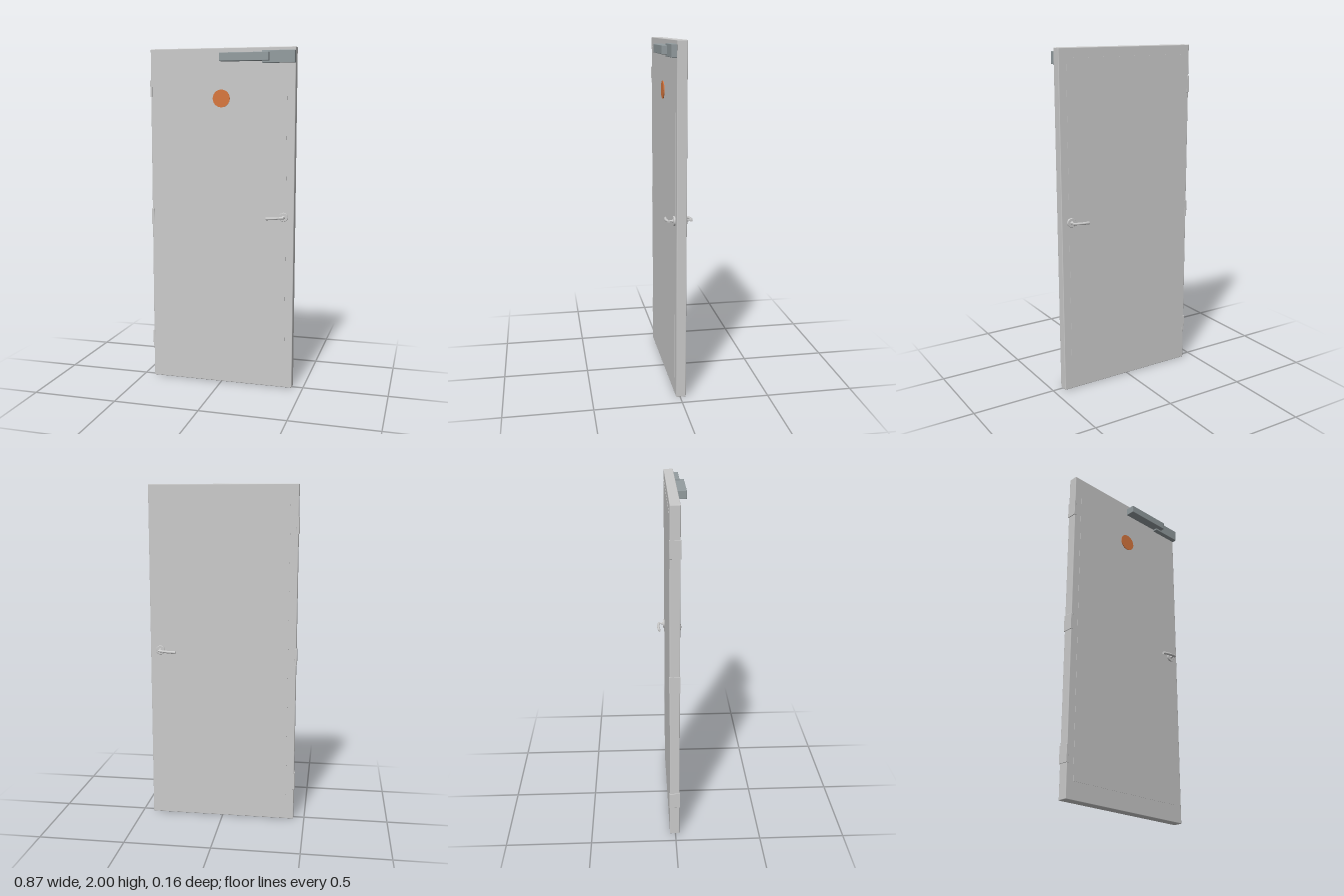
import * as THREE from 'three';
import { RoundedBoxGeometry } from 'three/addons/geometries/RoundedBoxGeometry.js';

const grey = new THREE.MeshStandardMaterial({ color: 0xcccccc });
const steel = new THREE.MeshStandardMaterial({ color: 0x949da0 });
const orange = new THREE.MeshStandardMaterial({ color: 0xd9783f });

const FRONT = 0.023, BACK = -0.033; // faces of the door slab

function add(parent, name, geometry, material = grey) {
  const mesh = new THREE.Mesh(geometry, material);
  mesh.name = name;
  parent.add(mesh);
  return mesh;
}

// Box given by its limits, with an optional softened edge
function box(parent, name, [x0, x1], [y0, y1], [z0, z1], bevel = 0, material = grey) {
  const size = [x1 - x0, y1 - y0, z1 - z0];
  const geometry = bevel
    ? new RoundedBoxGeometry(...size, 2, bevel)
    : new THREE.BoxGeometry(...size);
  add(parent, name, geometry, material)
    .position.set((x0 + x1) / 2, (y0 + y1) / 2, (z0 + z1) / 2);
}

// Lever handle standing out along local +z; tilt sets which way the tip drops
function handle(name, tilt) {
  const group = new THREE.Group();
  group.name = name;

  // Round rose plate and waisted neck
  const profile = [
    [0, 0], [0.027, 0], [0.027, 0.008], [0.025, 0.01], [0.010, 0.01],
    [0.006, 0.016], [0.005, 0.024], [0.006, 0.032], [0, 0.034],
  ].map(([r, h]) => new THREE.Vector2(r, h));
  const rose = new THREE.LatheGeometry(profile, 32).toNonIndexed();
  rose.computeVertexNormals();
  rose.rotateX(Math.PI / 2);
  add(group, 'roseAndNeck', rose);

  // Lever: a capped bar bowed outward, dropping slightly to its tip
  const length = 0.105;
  const lever = new THREE.CylinderGeometry(0.008, 0.008, length, 20, 12);
  lever.rotateZ(Math.PI / 2);
  const p = lever.attributes.position;
  for (let i = 0; i < p.count; i++) {
    const t = 0.5 - p.getX(i) / length; // 0 at the neck, 1 at the tip
    const bow = 0.006 * Math.sin(Math.PI * t);
    p.setXYZ(i, 0.008 - t * length,
      p.getY(i) * (0.8 + 0.3 * t) - tilt * 0.008 * t,
      p.getZ(i) + 0.035 + bow);
  }
  lever.computeVertexNormals();
  add(group, 'lever', lever);
  return group;
}

export function createModel() {
  const door = new THREE.Group();
  door.name = 'door';

  // Slab with a barely raised skin on both faces
  box(door, 'slab', [-0.435, 0.435], [0, 2], [BACK, FRONT], 0.004);
  box(door, 'faceSkins', [-0.388, 0.388], [0.1, 1.945], [BACK - 0.0015, FRONT + 0.0015]);

  // Three hinges wrapping the left edge
  [0.24, 1.005, 1.77].forEach((y, i) =>
    box(door, `hinge${i + 1}`, [-0.439, -0.424], [y - 0.049, y + 0.049],
      [BACK - 0.002, FRONT + 0.003], 0.001));

  // Door closer: body and arm housing
  box(door, 'closerBody', [0.245, 0.435], [1.91, 1.98], [FRONT, 0.053], 0.003, steel);
  box(door, 'closerArm', [0, 0.29], [1.922, 1.97], [FRONT, 0.08], 0.003, steel);

  // Round sign
  const sign = add(door, 'roundSign',
    new THREE.CylinderGeometry(0.051, 0.051, 0.006, 48).rotateX(Math.PI / 2), orange);
  sign.position.set(0, 1.712, FRONT + 0.003);

  // Handles on both faces
  const frontHandle = handle('frontHandle', 1);
  frontHandle.position.set(0.375, 1.03, FRONT);
  const backHandle = handle('backHandle', -1);
  backHandle.position.set(0.375, 1.03, BACK);
  backHandle.rotation.x = Math.PI;
  door.add(frontHandle, backHandle);

  return door;
}
